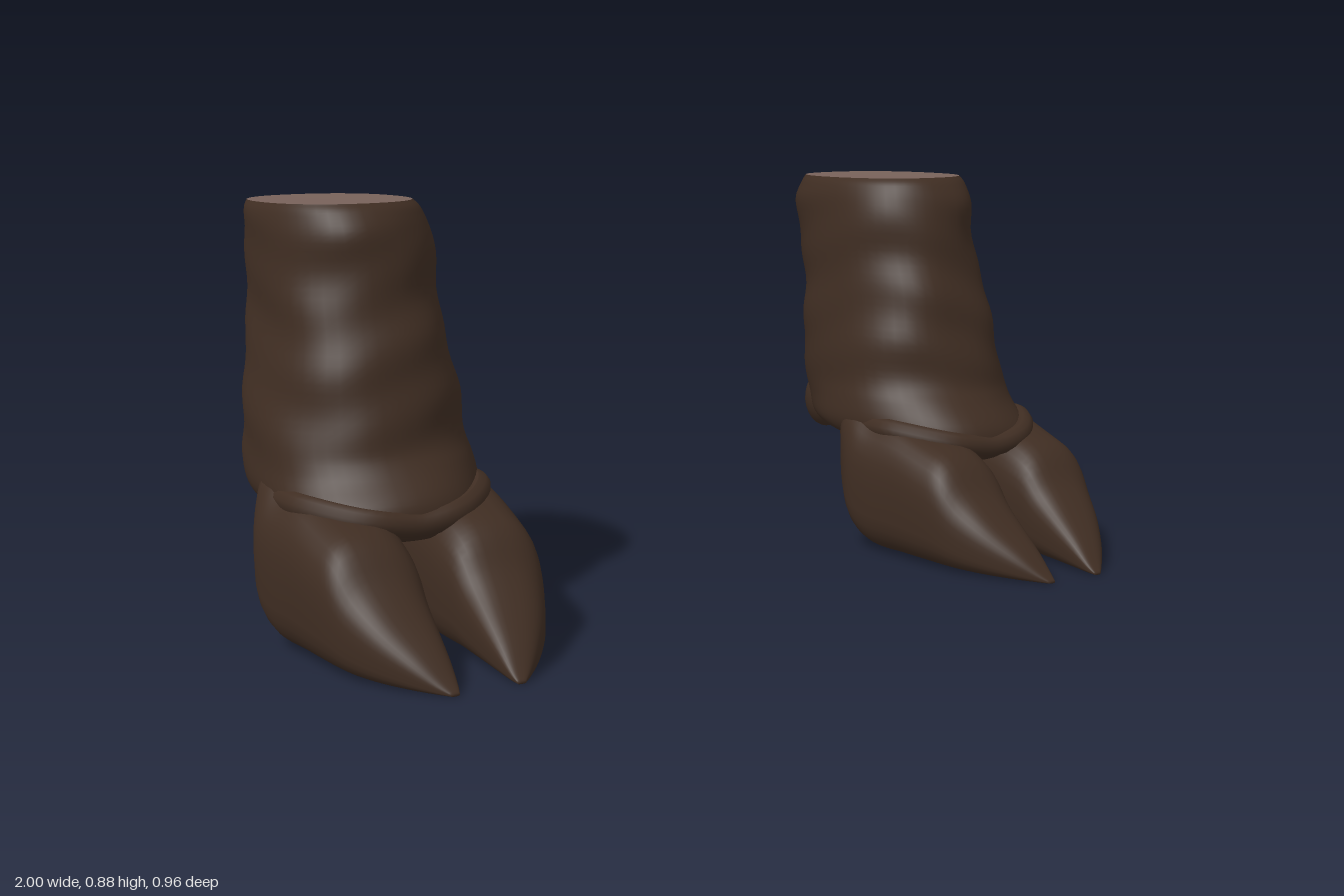
import * as THREE from 'three';

const FOOT_X = 0.735;

// signed power, used to square off an ellipse
const spow = (v, e) => Math.sign(v) * Math.pow(Math.abs(v), e);

// smooth interpolation through rows of section values
function sample(rows, t) {
  const f = t * (rows.length - 1);
  const i = Math.min(Math.floor(f), rows.length - 2);
  const u = f - i;
  const at = k => rows[Math.max(0, Math.min(rows.length - 1, k))];
  return rows[i].map((_, k) => {
    const a = at(i - 1)[k], b = at(i)[k], c = at(i + 1)[k], d = at(i + 2)[k];
    return b + 0.5 * u * (c - a + u * (2 * a - 5 * b + 4 * c - d + u * (3 * (b - c) + d - a)));
  });
}

// skin over closed rings; point(t, angle) returns [x, y, z]
function loft(point, steps, sides, capStart, capEnd) {
  const pos = [], index = [];
  for (let i = 0; i <= steps; i++) {
    for (let j = 0; j < sides; j++) pos.push(...point(i / steps, (j / sides) * Math.PI * 2));
  }
  for (let i = 0; i < steps; i++) {
    for (let j = 0; j < sides; j++) {
      const k = (j + 1) % sides;
      const a = i * sides + j, b = i * sides + k, c = a + sides, d = b + sides;
      index.push(a, b, c, b, d, c);
    }
  }
  const cap = (row, flip) => {
    const mid = [0, 0, 0];
    for (let j = 0; j < sides; j++) {
      for (let n = 0; n < 3; n++) mid[n] += pos[(row * sides + j) * 3 + n] / sides;
    }
    const m = pos.length / 3;
    pos.push(...mid);
    for (let j = 0; j < sides; j++) {
      const a = row * sides + j, b = row * sides + (j + 1) % sides;
      index.push(m, flip ? b : a, flip ? a : b);
    }
  };
  if (capStart) cap(0, true);
  if (capEnd) cap(steps, false);
  const geo = new THREE.BufferGeometry();
  geo.setAttribute('position', new THREE.Float32BufferAttribute(pos, 3));
  geo.setIndex(index);
  geo.computeVertexNormals();
  return geo;
}

function mirrorX(source) {
  const geo = source.clone().scale(-1, 1, 1);
  const ix = geo.index.array;
  for (let i = 0; i < ix.length; i += 3) [ix[i], ix[i + 1]] = [ix[i + 1], ix[i]];
  geo.computeVertexNormals();
  return geo;
}

// leg sections: yFront, yBack, zFront, zBack, xInner, xOuter
const LEG = [
  [0.875, 0.865, -0.03, -0.472, -0.16, 0.15],
  [0.855, 0.845, -0.01, -0.478, -0.175, 0.16],
  [0.80, 0.80, 0.015, -0.48, -0.19, 0.165],
  [0.70, 0.70, 0.022, -0.453, -0.195, 0.17],
  [0.60, 0.60, 0.055, -0.437, -0.2, 0.18],
  [0.50, 0.50, 0.08, -0.42, -0.215, 0.2],
  [0.40, 0.40, 0.10, -0.405, -0.22, 0.215],
  [0.35, 0.34, 0.13, -0.395, -0.225, 0.22],
  [0.29, 0.285, 0.18, -0.37, -0.225, 0.22],
  [0.24, 0.265, 0.19, -0.30, -0.2, 0.195],
  [0.215, 0.265, 0.15, -0.22, -0.13, 0.13],
  [0.22, 0.265, 0.10, -0.15, -0.04, 0.04],
];

function legPoint(t, a) {
  const [yF, yB, zF, zB, xI, xO] = sample(LEG, t);
  const s = spow(Math.sin(a), 0.88), c = spow(Math.cos(a), 0.88);
  const y = yF + (yB - yF) * (0.5 - s / 2);
  // shallow hide wrinkles that fade at the cut
  const w = 1 + Math.min(1, t * 6) * 0.012 * (Math.sin(y * 46 + 2 * Math.sin(a * 2)) + Math.sin(a * 5 + y * 17));
  return [(xI + xO) / 2 + (xO - xI) / 2 * c * w, y, (zF + zB) / 2 + (zF - zB) / 2 * s * w];
}

// toe sections: z, yBottom, yTop, xNear, xFar
const TOE = [
  [-0.21, 0.275, 0.37, 0.02, 0.17],
  [-0.15, 0.23, 0.375, 0.015, 0.2],
  [-0.11, 0.165, 0.37, 0.015, 0.225],
  [-0.08, 0.09, 0.35, 0.015, 0.245],
  [-0.035, 0.03, 0.325, 0.018, 0.263],
  [0.02, 0.002, 0.31, 0.02, 0.262],
  [0.10, 0, 0.295, 0.02, 0.252],
  [0.19, 0, 0.268, 0.022, 0.243],
  [0.25, 0, 0.238, 0.028, 0.233],
  [0.30, 0, 0.175, 0.034, 0.215],
  [0.36, 0, 0.12, 0.04, 0.183],
  [0.42, 0, 0.066, 0.047, 0.138],
  [0.46, 0, 0.025, 0.054, 0.1],
  [0.48, 0, 0.006, 0.06, 0.078],
];

function toePoint(t, a) {
  const [z, y0, y1, x0, x1] = sample(TOE, t);
  const c = Math.cos(a), s = Math.sin(a);
  const fade = Math.sin(Math.PI * t);
  const w = 1 + 0.014 * fade * Math.sin(t * 42 + a * 2) * Math.max(0, s);
  const low = s < 0 ? spow(s, 0.55) : spow(s, 0.8) * w;
  return [(x0 + x1) / 2 + (x1 - x0) / 2 * spow(c, 0.72), Math.max(0, (y0 + y1) / 2 + (y1 - y0) / 2 * low), z];
}

// flat cut face filling the top ring
function cutPoint(t, a) {
  const rim = legPoint(0, a), mid = [-0.005, 0.868, -0.251];
  const s = 0.001 + 0.999 * t;
  return rim.map((v, n) => mid[n] + (v - mid[n]) * s);
}

export function createModel() {
  const hide = new THREE.MeshStandardMaterial({ color: 0x3f2d22 });
  hide.name = 'dark brown hide';
  const flesh = new THREE.MeshStandardMaterial({ color: 0x78625a });
  flesh.name = 'dusty pink cut';

  const toe = loft(toePoint, 52, 32, true, true);
  const dewclaw = new THREE.SphereGeometry(1, 20, 14).scale(0.055, 0.078, 0.06).rotateX(0.15).translate(0.1, 0.308, -0.336);
  // loose skin fold over the base of the toes
  const foldPath = new THREE.CatmullRomCurve3([
    [-0.2, 0.29, -0.06], [-0.19, 0.29, 0.06], [-0.1, 0.27, 0.165], [0, 0.255, 0.175],
    [0.1, 0.27, 0.165], [0.19, 0.29, 0.06], [0.2, 0.29, -0.06],
  ].map(p => new THREE.Vector3(...p)));
  const parts = [
    ['leg', loft(legPoint, 60, 48, false, true), hide],
    ['cutFace', loft(cutPoint, 2, 48, false, false), flesh],
    ['outerToe', toe, hide],
    ['innerToe', mirrorX(toe), hide],
    ['outerDewclaw', dewclaw, hide],
    ['innerDewclaw', mirrorX(dewclaw), hide],
    ['skinFold', new THREE.TubeGeometry(foldPath, 40, 0.026, 10, false), hide],
  ];

  // two mirrored feet
  const model = new THREE.Group();
  model.name = 'pairOfHooves';
  for (const side of [1, -1]) {
    const foot = new THREE.Group();
    foot.name = side > 0 ? 'leftFoot' : 'rightFoot';
    foot.position.x = side * FOOT_X;
    for (const [name, geo, material] of parts) {
      const mesh = new THREE.Mesh(side > 0 ? geo : mirrorX(geo), material);
      mesh.name = name;
      foot.add(mesh);
    }
    model.add(foot);
  }
  return model;
}
